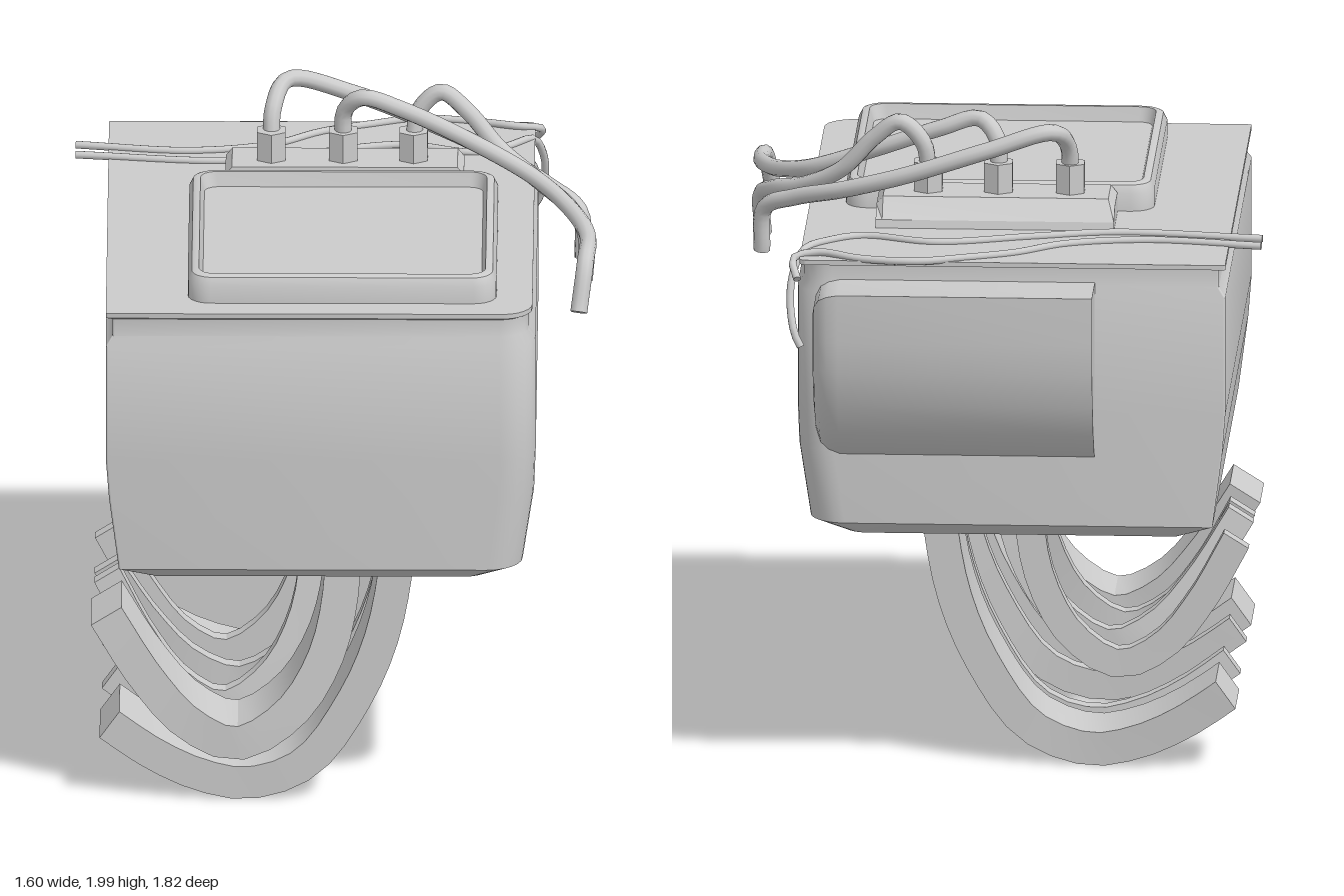
import * as THREE from 'three';
import { toCreasedNormals } from 'three/addons/utils/BufferGeometryUtils.js';

const material = new THREE.MeshStandardMaterial({ color: 0xcccccc });
const V = (x, y, z) => new THREE.Vector3(x, y, z);

// Skin over a list of equal-length loops, closed by a cap at both ends
function loft(loops, crease = 0.6) {
  const n = loops[0].length, pts = loops.flat(), idx = [];
  for (let i = 0; i < loops.length - 1; i++) {
    for (let j = 0; j < n; j++) {
      const a = i * n + j, b = i * n + (j + 1) % n;
      idx.push(a, b, b + n, a, b + n, a + n);
    }
  }
  const last = (loops.length - 1) * n;
  for (let j = 1; j < n - 1; j++) idx.push(0, j + 1, j, last, last + j, last + j + 1);
  // Turn the faces outward if the enclosed volume comes out negative
  let volume = 0;
  const cross = V(0, 0, 0);
  for (let i = 0; i < idx.length; i += 3) {
    volume += pts[idx[i]].dot(cross.crossVectors(pts[idx[i + 1]], pts[idx[i + 2]]));
  }
  if (volume < 0) idx.reverse();
  const geo = new THREE.BufferGeometry().setFromPoints(pts);
  geo.setIndex(idx);
  return toCreasedNormals(geo, crease);
}

// Horizontal rounded rectangle; radii for corners (+x+z, -x+z, -x-z, +x-z)
function rectLoop(y, x0, x1, z0, z1, radii) {
  const corners = [[x1, z1, -1, -1], [x0, z1, 1, -1], [x0, z0, 1, 1], [x1, z0, -1, 1]];
  return corners.flatMap(([x, z, sx, sz], c) => {
    const r = radii[c], out = [];
    for (let k = 0; k <= 6; k++) {
      const a = (c + k / 6) * Math.PI / 2;
      out.push(V(x + sx * r + r * Math.cos(a), y, z + sz * r + r * Math.sin(a)));
    }
    return out;
  });
}

function add(parent, name, geo) {
  const mesh = new THREE.Mesh(geo, material);
  mesh.name = name;
  parent.add(mesh);
  return mesh;
}

function cable(parent, name, points, radius) {
  const curve = new THREE.CatmullRomCurve3(points.map(p => V(...p)), false, 'centripetal');
  add(parent, name, new THREE.TubeGeometry(curve, 56, radius, 10));
  // Flat caps on both cut ends
  for (const t of [0, 1]) {
    const cap = add(parent, name + 'End', new THREE.CircleGeometry(radius, 10));
    const p = curve.getPointAt(t);
    cap.position.copy(p);
    cap.lookAt(p.clone().addScaledVector(curve.getTangentAt(t), t ? 1 : -1));
  }
}

// Hooked strip: a centre line in the xy plane, drifting in z from top to bend to tip
function hook(path, zTop, zBend, zTip, width, thickness, dx = 0) {
  const curve = new THREE.CatmullRomCurve3(path.map(([x, y]) => V(x, y, 0)));
  const loops = [], steps = 22, h = thickness / 2, w = width / 2;
  for (let i = 0; i <= steps; i++) {
    const t = i / steps, p = curve.getPointAt(t), d = curve.getTangentAt(t);
    const z = t < 0.62 ? THREE.MathUtils.lerp(zTop, zBend, t / 0.62)
      : THREE.MathUtils.lerp(zBend, zTip, (t - 0.62) / 0.38);
    const shift = dx * (1 - t);
    loops.push([[-h, -w], [h, -w], [h, w], [-h, w]].map(([a, b]) =>
      V(p.x - d.y * a + shift, p.y + d.x * a, z + b)));
  }
  return loft(loops, 0.5);
}

export function createModel() {
  const model = new THREE.Group();
  model.name = 'model';

  // Housing: outer shell, lid edge on top and an open cavity below
  const levels = [
    [0.93, -0.46, 0.37, -0.58, 0.77, 0.04],
    [0.80, -0.48, 0.39, -0.60, 0.79, 0.04],
    [0.80, -0.55, 0.47, -0.69, 0.86, 0.07],
    [0.84, -0.66, 0.575, -0.73, 0.91, 0.11],
    [1.07, -0.69, 0.61, -0.73, 0.91, 0.11],
    [1.20, -0.70, 0.615, -0.73, 0.91, 0.11],
    [1.57, -0.70, 0.615, -0.73, 0.91, 0.11],
    [1.60, -0.68, 0.595, -0.72, 0.895, 0.09],
    [1.655, -0.68, 0.595, -0.72, 0.895, 0.09],
    [1.66, -0.70, 0.605, -0.74, 0.90, 0.09],
    [1.675, -0.70, 0.605, -0.74, 0.90, 0.09],
  ];
  add(model, 'housing', loft(levels.map(([y, x0, x1, z0, z1, r], i) =>
    rectLoop(y, x0, x1, z0, z1, [r, 0.006, 0.006, i > 8 ? 0.02 : r]))));

  // Raised tray with a sunken middle
  const trayRim = [[1.66, 0], [1.73, 0], [1.755, 0.012], [1.76, 0.022], [1.76, 0.034], [1.715, 0.046]];
  add(model, 'tray', loft(trayRim.map(([y, s]) =>
    rectLoop(y, -0.45 + s, 0.495 - s, -0.125 + s, 0.81 - s, Array(4).fill(0.07 - s * 0.6)))));

  // Terminal block with a sloping back
  const block = [[-0.36, 1.66], [-0.35, 1.70], [-0.295, 1.76], [-0.13, 1.76], [-0.11, 1.66]];
  add(model, 'terminalBlock', loft([-0.34, -0.32, 0.37, 0.39].map((x, i) =>
    block.map(([z, y]) => V(x, i % 3 ? y : Math.min(y, 1.735), z))), 0.3));

  // Hexagonal terminals
  for (const x of [-0.2, 0.02, 0.235]) {
    const nut = add(model, 'terminal', toCreasedNormals(new THREE.CylinderGeometry(0.05, 0.05, 0.11, 6), 0.3));
    nut.position.set(x, 1.797, -0.21);
  }

  // Thick cables running from the terminals over the side
  cable(model, 'rightCable', [[-0.2, 1.82, -0.21], [-0.195, 1.91, -0.24], [-0.15, 1.975, -0.32],
    [0.05, 1.92, -0.345], [0.3, 1.83, -0.31], [0.5, 1.76, -0.23], [0.65, 1.705, -0.12],
    [0.745, 1.65, -0.045], [0.755, 1.51, -0.02]], 0.026);
  cable(model, 'middleCable', [[0.02, 1.82, -0.21], [0.025, 1.92, -0.2], [0.08, 1.975, -0.165],
    [0.2, 1.94, -0.155], [0.4, 1.86, -0.11], [0.6, 1.775, -0.02], [0.71, 1.73, 0.12],
    [0.77, 1.705, 0.3], [0.765, 1.68, 0.46], [0.745, 1.54, 0.53]], 0.026);
  cable(model, 'leftCable', [[0.235, 1.82, -0.21], [0.25, 1.91, -0.22], [0.32, 1.975, -0.215],
    [0.4, 1.92, -0.195], [0.5, 1.81, -0.16], [0.62, 1.735, -0.08], [0.72, 1.69, 0.04],
    [0.765, 1.64, 0.14], [0.76, 1.51, 0.18]], 0.026);

  // Thin wires lying across the back of the lid and hanging off the corner
  cable(model, 'rearWire', [[-0.8, 1.68, -0.525], [-0.45, 1.68, -0.475], [-0.2, 1.68, -0.53],
    [-0.05, 1.68, -0.64], [0.1, 1.68, -0.705], [0.25, 1.68, -0.755], [0.42, 1.68, -0.73],
    [0.55, 1.685, -0.68], [0.625, 1.67, -0.7], [0.61, 1.62, -0.76]], 0.012);
  cable(model, 'frontWire', [[-0.8, 1.68, -0.44], [-0.35, 1.68, -0.39], [-0.1, 1.68, -0.45],
    [0.2, 1.68, -0.53], [0.42, 1.68, -0.465], [0.52, 1.68, -0.52], [0.6, 1.67, -0.61],
    [0.63, 1.6, -0.66], [0.635, 1.53, -0.69], [0.62, 1.44, -0.73], [0.6, 1.4, -0.74]], 0.012);

  // Curved rear cover, rounded off towards its left end
  const cover = [[-0.70, 1.04], [-0.76, 1.08], [-0.82, 1.15], [-0.87, 1.25], [-0.9, 1.36],
    [-0.91, 1.46], [-0.91, 1.61], [-0.70, 1.61]];
  const coverEnds = [[-0.3, 1], [0.48, 1], [0.515, 0.96], [0.54, 0.89], [0.555, 0.75], [0.56, 0.6]];
  add(model, 'rearCover', loft(coverEnds.map(([x, s]) =>
    cover.map(([z, y]) => V(x, 1.4 + (y - 1.4) * s, -0.7 + (z + 0.7) * s)))));

  // Hooked legs: long low hooks and shorter high ones
  const low = [[0.2, 0.96], [0.19, 0.8], [0.145, 0.55], [0.06, 0.34], [-0.09, 0.13],
    [-0.27, 0.063], [-0.43, 0.095], [-0.57, 0.165], [-0.69, 0.25]];
  const high = [[0.02, 0.96], [0.02, 0.72], [-0.03, 0.49], [-0.14, 0.31], [-0.3, 0.217],
    [-0.45, 0.28], [-0.58, 0.425], [-0.7, 0.615]];
  add(model, 'frontLowLeg', hook(low, 0.59, 0.59, 0.58, 0.24, 0.105));
  add(model, 'frontHighLeg', hook(high, 0.61, 0.66, 0.61, 0.23, 0.11));
  add(model, 'rearLowLeg', hook(low, -0.36, -0.345, -0.4, 0.23, 0.105));

  // Slender strips between the legs: path, z at top, bend and tip, sideways shift
  const strips = [
    [high, 0.31, 0.42, 0.35, -0.1], [low, 0.37, 0.29, 0.27, 0], [high, 0.29, 0.205, 0.27, 0],
    [high, -0.02, -0.02, -0.03, -0.1], [low, -0.09, -0.14, -0.1, 0],
  ];
  for (const [path, a, b, c, dx] of strips) {
    add(model, 'slenderLeg', hook(path, a, b, c, 0.05, 0.09, dx));
  }
  return model;
}
